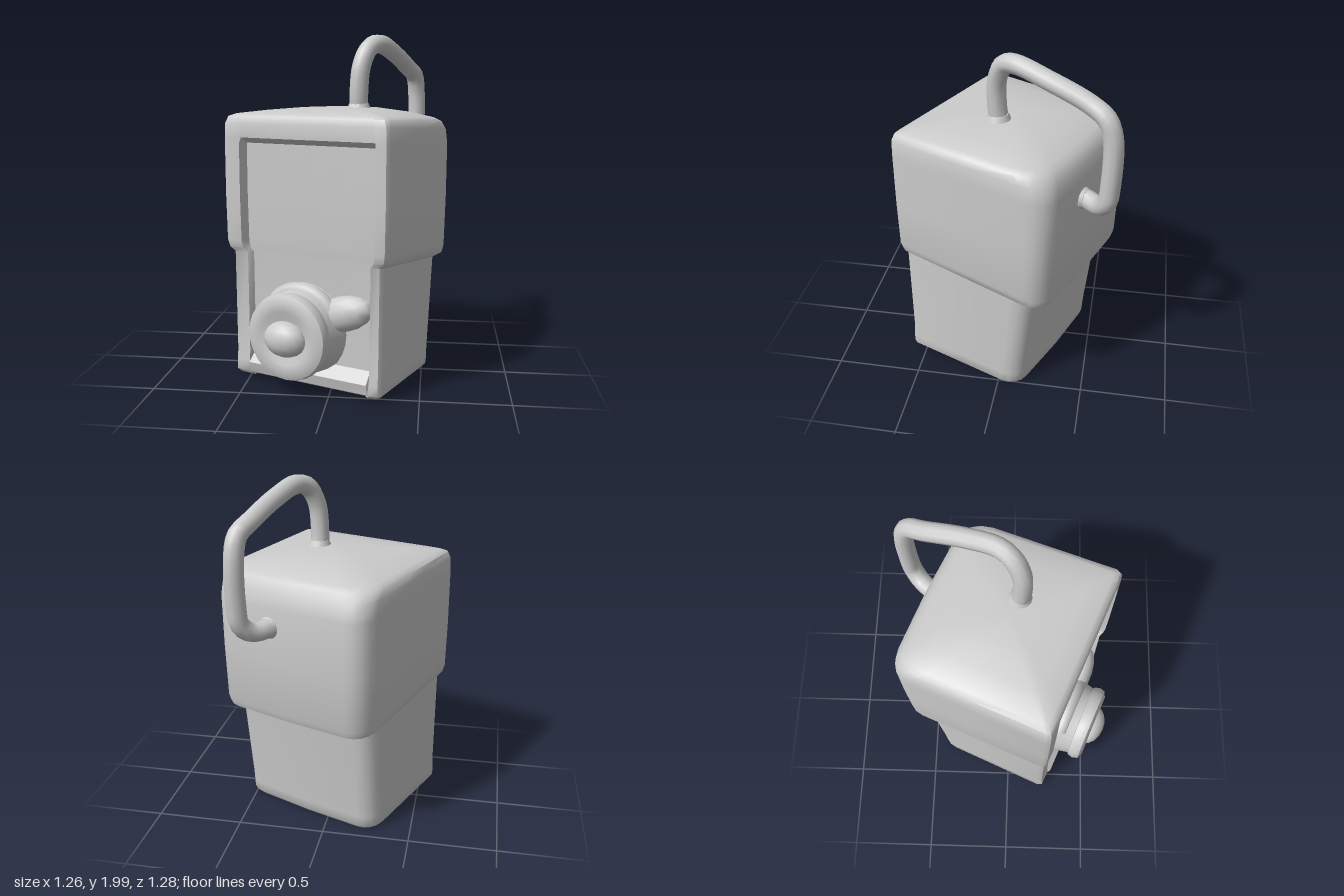
import * as THREE from 'three';
import { toCreasedNormals } from 'three/addons/utils/BufferGeometryUtils.js';

const material = new THREE.MeshStandardMaterial({ color: 0xcccccc });

function add(parent, name, geometry) {
  const mesh = new THREE.Mesh(geometry, material);
  mesh.name = name;
  parent.add(mesh);
  return mesh;
}

// Horizontal outline: near-square front corners, round back corners, a notch in the front.
function outline(half, front, back, notch, round) {
  const n = half * 0.8, shift = half * 0.04;
  const pts = [[-half, front - 0.03], [-half + 0.015, front - 0.004], [-n - 0.01 + shift, front]];
  for (const t of [-1, -0.5, 0, 0.5, 1]) pts.push([t * n + shift, front - notch]);
  pts.push([n + 0.01 + shift, front], [half - 0.015, front - 0.004], [half, front - 0.03]);
  pts.push([half, (front + back) / 2]);
  for (let i = 0; i <= 4; i++) {
    const a = (i / 4) * Math.PI / 2;
    pts.push([half - round + round * Math.cos(a), back + round - round * Math.sin(a)]);
  }
  pts.push([0, back - 0.01]);
  for (let i = 4; i >= 0; i--) {
    const a = (i / 4) * Math.PI / 2;
    pts.push([-half + round - round * Math.cos(a), back + round - round * Math.sin(a)]);
  }
  pts.push([-half, (front + back) / 2]);
  // Slightly narrower towards the back
  return pts.map(([x, z]) => [x * (1 - 0.05 * (front - z)) + 0.013, z]);
}

// Rows: height at the front, rise per unit towards the back, half width, front, back, notch, corner radius
function bodyGeometry() {
  const rows = [
    [0.03, -0.03, 0.455, 0.42, -0.31, 0.02, 0.1],
    [0.05, -0.03, 0.475, 0.437, -0.325, 0, 0.11],
    [0.11, -0.03, 0.475, 0.437, -0.33, -0.015, 0.11],
    [0.17, -0.03, 0.475, 0.43, -0.335, 0.045, 0.11],
    [0.76, -0.11, 0.48, 0.43, -0.395, 0.045, 0.11],
    [0.785, -0.11, 0.508, 0.442, -0.49, 0.055, 0.12],
    [0.83, -0.11, 0.518, 0.45, -0.505, 0.06, 0.13],
    [1.1, -0.06, 0.523, 0.452, -0.515, 0.06, 0.13],
    [1.39, -0.04, 0.523, 0.452, -0.52, 0.06, 0.13],
    [1.42, -0.05, 0.523, 0.452, -0.515, 0.005, 0.13],
    [1.5, -0.06, 0.52, 0.45, -0.505, 0, 0.14],
    [1.538, -0.05, 0.505, 0.438, -0.47, 0, 0.15],
    [1.553, -0.045, 0.47, 0.41, -0.435, 0, 0.15],
    [1.57, -0.03, 0.34, 0.3, -0.33, 0, 0.14],
    [1.584, -0.015, 0.18, 0.16, -0.18, 0, 0.08],
  ];
  const pos = [], index = [];
  let count = 0;
  for (const [y, slope, half, front, back, notch, round] of rows) {
    const ring = outline(half, front, back, notch, round);
    count = ring.length;
    for (const [x, z] of ring) pos.push(x, y + slope * (front - z), z);
  }
  for (let r = 0; r < rows.length - 1; r++) {
    for (let j = 0; j < count; j++) {
      const a = r * count + j, b = r * count + (j + 1) % count;
      index.push(a, b, b + count, a, b + count, a + count);
    }
  }
  // Close the underside and the domed top
  const bottom = rows.length * count, top = bottom + 1, last = bottom - count;
  pos.push(0, 0.015, 0.02, 0, 1.588, 0);
  for (let j = 0; j < count; j++) {
    const k = (j + 1) % count;
    index.push(bottom, k, j, top, last + j, last + k);
  }
  const geometry = new THREE.BufferGeometry();
  geometry.setAttribute('position', new THREE.Float32BufferAttribute(pos, 3));
  geometry.setIndex(index);
  return toCreasedNormals(geometry, 0.8);
}

// Round part turned about the front-to-back axis: profile of [radius, z]
function turned(profile) {
  const points = profile.map(([r, z]) => new THREE.Vector2(r, z));
  return toCreasedNormals(new THREE.LatheGeometry(points, 28).rotateX(Math.PI / 2), 0.8);
}

export function createModel() {
  const model = new THREE.Group();
  model.name = 'canister';

  // The container stands turned on its base
  const container = new THREE.Group();
  container.name = 'container';
  container.rotation.y = -0.385;
  model.add(container);
  add(container, 'body', bodyGeometry());

  // Dial on the front panel
  const dial = new THREE.Group();
  dial.name = 'dial';
  dial.position.set(-0.01, 0.35, 0);
  container.add(dial);
  add(dial, 'dialCollar', turned([[0.275, 0.36], [0.26, 0.41], [0.24, 0.46], [0.225, 0.53]]));
  add(dial, 'dialDisc', turned([[0, 0.5], [0.2, 0.505], [0.238, 0.52], [0.248, 0.555],
    [0.238, 0.59], [0.2, 0.606], [0.15, 0.602], [0.11, 0.585], [0, 0.585]]));
  const knob = add(dial, 'dialKnob', new THREE.SphereGeometry(1, 16, 10));
  knob.scale.set(0.13, 0.1, 0.085);
  knob.position.set(0, -0.005, 0.588);

  // Raised brow above the dial and low shoulder beside it
  const brow = add(dial, 'dialBrow', new THREE.TorusGeometry(0.225, 0.05, 8, 20, 1.9));
  brow.rotation.z = 0.45;
  brow.position.z = 0.42;
  const shoulder = add(dial, 'dialShoulder', new THREE.SphereGeometry(1, 14, 8));
  shoulder.scale.set(0.19, 0.1, 0.08);
  shoulder.position.set(0.25, 0.12, 0.39);
  shoulder.rotation.z = 0.3;

  // Bent handle from the middle of the lid to the upper back
  const path = new THREE.CatmullRomCurve3([
    [0.12, 1.54, 0.045], [0.12, 1.66, 0.06], [0.135, 1.82, 0.055], [0.175, 1.92, 0.01],
    [0.225, 1.945, -0.06], [0.3, 1.9, -0.24], [0.375, 1.82, -0.46], [0.42, 1.765, -0.55],
    [0.432, 1.67, -0.585], [0.432, 1.4, -0.588], [0.42, 1.29, -0.575],
    [0.37, 1.235, -0.53], [0.3, 1.235, -0.45], [0.26, 1.24, -0.38],
  ].map((p) => new THREE.Vector3(...p)), false, 'centripetal');
  add(model, 'handle', new THREE.TubeGeometry(path, 52, 0.054, 10, false));

  // Flared feet where the handle meets the lid and the back
  const lidFoot = add(model, 'handleLidFoot', new THREE.CylinderGeometry(0.053, 0.075, 0.05, 14));
  lidFoot.position.set(0.12, 1.588, 0.05);
  const backFoot = add(container, 'handleBackFoot', new THREE.CylinderGeometry(0.055, 0.08, 0.06, 14));
  backFoot.rotation.x = -Math.PI / 2;
  backFoot.position.set(0.115, 1.235, -0.515);

  return model;
}
